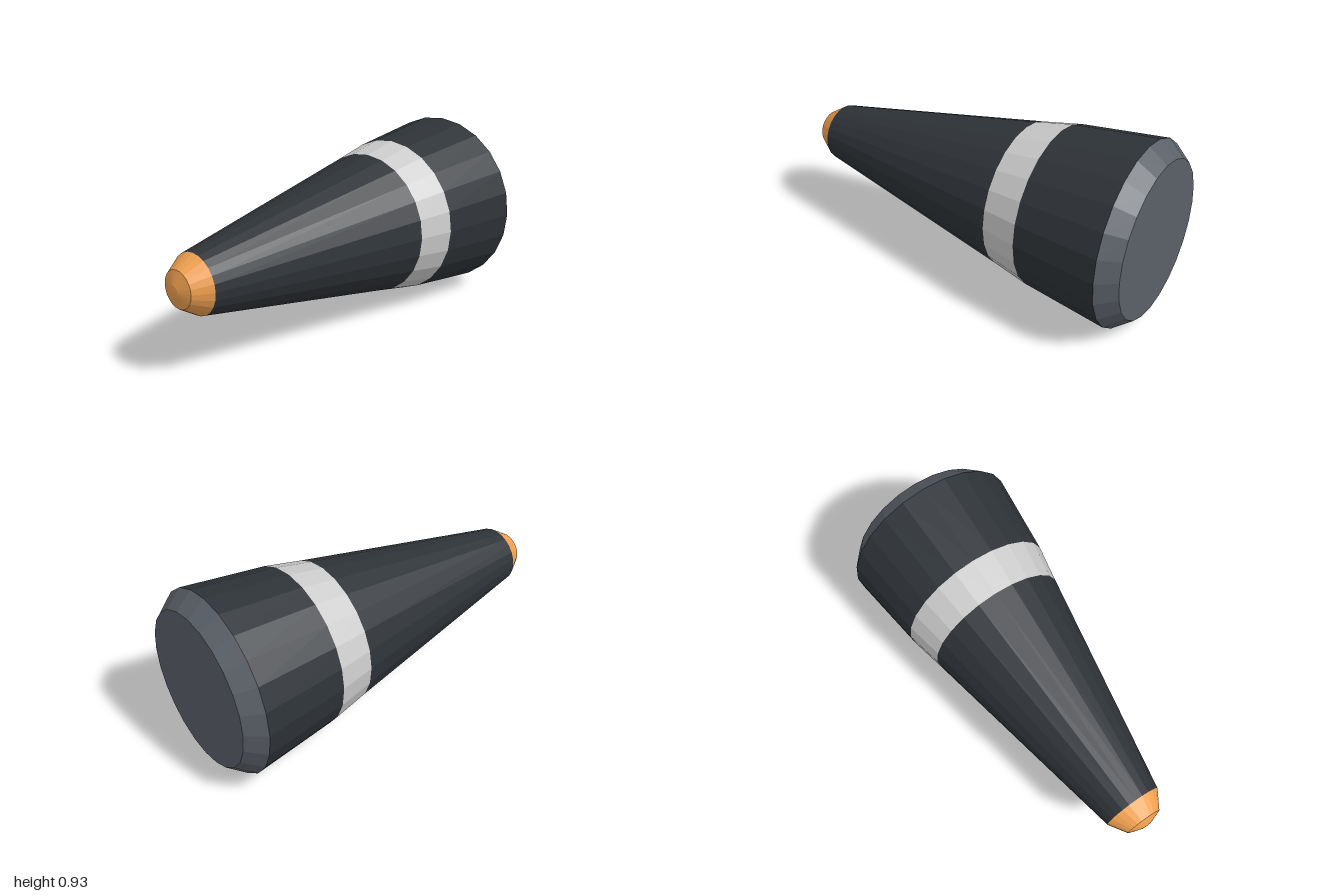
import * as THREE from 'three';

const SIDES = 24;

// Faceted ring section turned about the long axis; profile is [radius, z] from back to front
function section(name, color, profile) {
  const points = profile.map(([r, z]) => new THREE.Vector2(r, z));
  const geometry = new THREE.LatheGeometry(points, SIDES);
  geometry.rotateX(Math.PI / 2);
  const mesh = new THREE.Mesh(geometry, new THREE.MeshStandardMaterial({ color, flatShading: true }));
  mesh.name = name;
  return mesh;
}

export function createModel() {
  const group = new THREE.Group();
  group.name = 'taperedCone';
  const dark = 0x2e3338, steel = 0x5a6068, silver = 0xc0c0c0, orange = 0xf0a050;

  group.add(
    // closed back with its chamfered rim
    section('backCap', steel, [[0, -1], [0.393, -1], [0.465, -0.91]]),
    // wide rear body
    section('rearBody', dark, [[0.465, -0.91], [0.411, -0.47]]),
    // pale band around the shoulder
    section('band', silver, [[0.411, -0.47], [0.372, -0.28]]),
    // long taper to the nose
    section('frontBody', dark, [[0.372, -0.28], [0.15, 0.885]]),
    // blunt nose tip
    section('noseTip', orange, [[0.15, 0.885], [0.093, 0.975], [0.025, 0.998], [0, 1]])
  );

  group.position.y = 0.466;
  return group;
}
